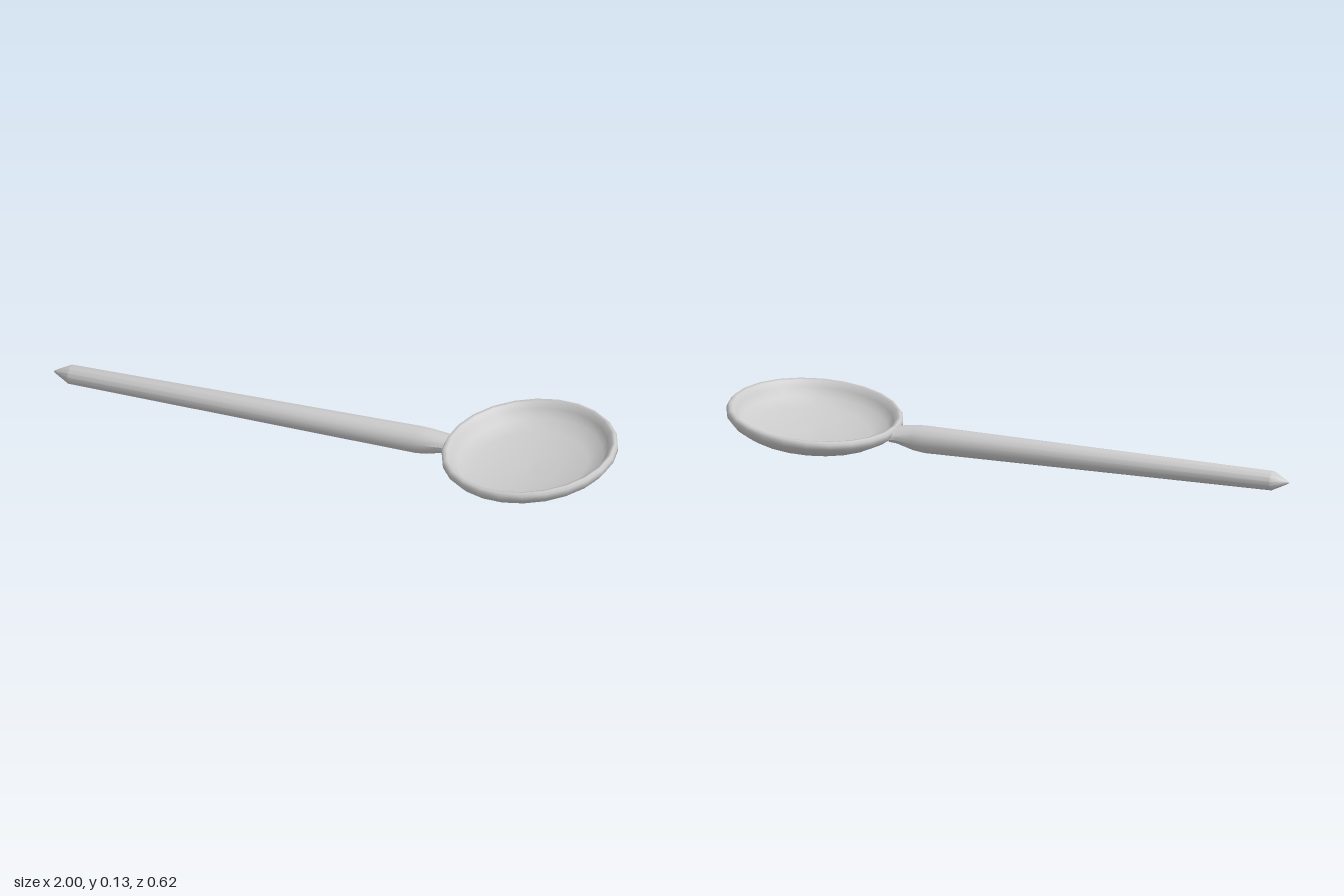
import * as THREE from 'three';
import { toCreasedNormals } from 'three/addons/utils/BufferGeometryUtils.js';

const material = new THREE.MeshStandardMaterial({ color: 0xcccccc, side: THREE.DoubleSide });

// Closed loft along x through elliptical sections [x, centreY, halfHeight, halfWidth]
function loft(sections, sides) {
  const positions = [], indices = [];
  for (const [x, y, h, w] of sections) {
    for (let i = 0; i < sides; i++) {
      const a = (i / sides) * Math.PI * 2;
      positions.push(x, y + h * Math.cos(a), w * Math.sin(a));
    }
  }
  for (let s = 0; s < sections.length - 1; s++) {
    for (let i = 0; i < sides; i++) {
      const a = s * sides + i, b = s * sides + (i + 1) % sides;
      indices.push(a, a + sides, b, b, a + sides, b + sides);
    }
  }
  const geometry = new THREE.BufferGeometry();
  geometry.setAttribute('position', new THREE.Float32BufferAttribute(positions, 3));
  geometry.setIndex(indices);
  return geometry;
}

export function createModel() {
  const spoon = new THREE.Group();
  spoon.name = 'spoon';

  // Tapered round handle with a pointed end and a flattened neck
  const handleGeometry = loft([
    [-1, 0.058, 0.001, 0.001],
    [-0.985, 0.058, 0.01, 0.011],
    [-0.94, 0.058, 0.033, 0.035],
    [0.3, 0.059, 0.046, 0.051],
    [0.34, 0.061, 0.043, 0.049],
    [0.4, 0.065, 0.029, 0.044],
    [0.42, 0.066, 0.026, 0.055],
    [0.425, 0.066, 0.001, 0.001],
  ], 14);
  const handle = new THREE.Mesh(toCreasedNormals(handleGeometry, 0.6), material);
  handle.name = 'handle';
  spoon.add(handle);

  // Shallow round bowl: underside, rim and hollow in one turned profile
  const profile = [
    [0, -0.108], [0.1, -0.106], [0.18, -0.094], [0.25, -0.07], [0.29, -0.046],
    [0.308, -0.026], [0.308, -0.01], [0.3, 0], [0.288, -0.002], [0.274, -0.022],
    [0.255, -0.05], [0.2, -0.071], [0.1, -0.086], [0, -0.09],
  ].map(([r, y]) => new THREE.Vector2(r, y));
  const bowlGeometry = new THREE.LatheGeometry(profile, 24);
  bowlGeometry.scale(0.97, 1, 1.01);
  const bowl = new THREE.Mesh(bowlGeometry, material);
  bowl.name = 'bowl';
  bowl.position.set(0.7, 0.117, 0);
  bowl.rotation.z = 0.075;
  spoon.add(bowl);

  return spoon;
}
